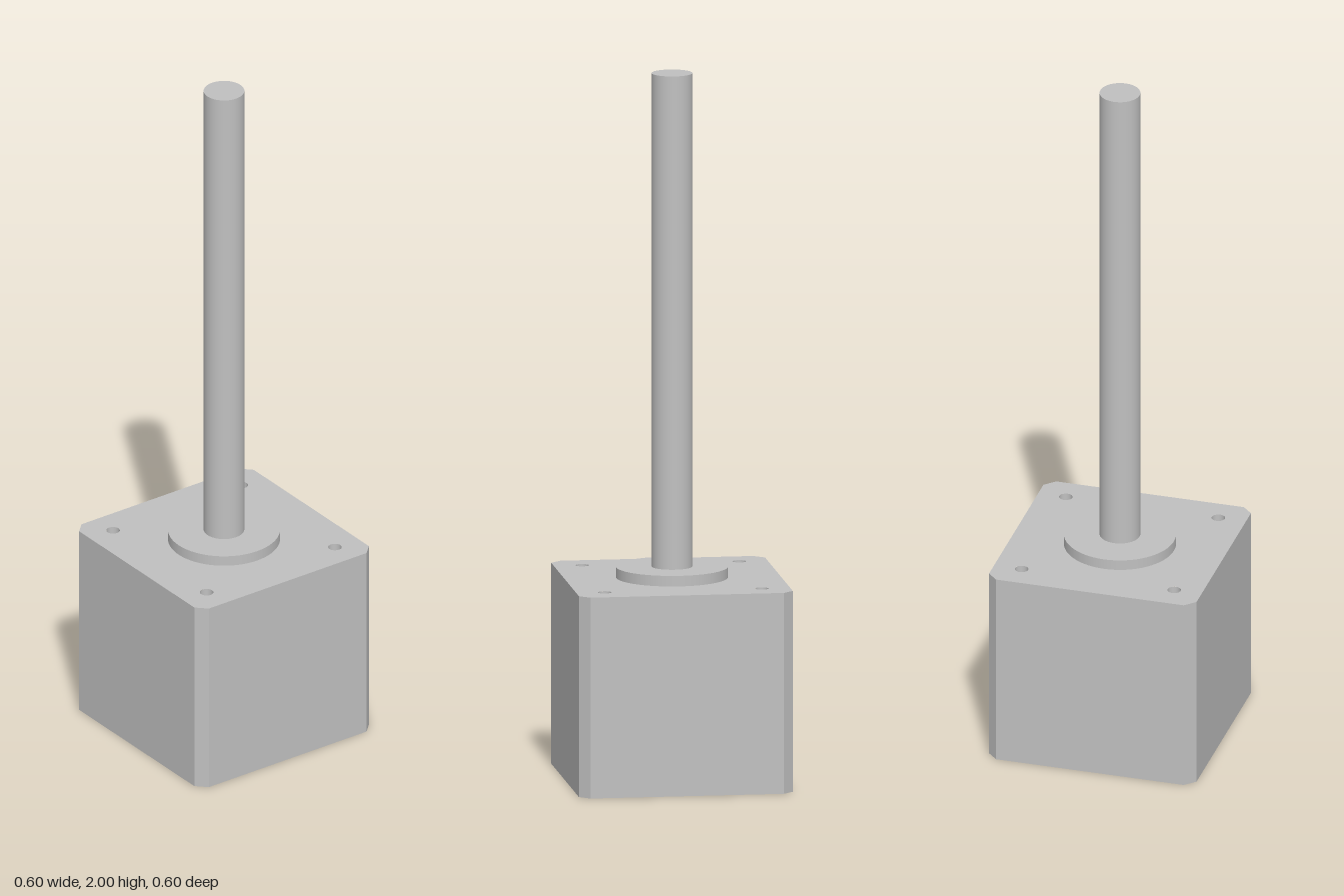
import * as THREE from 'three';

const HALF = 0.302, CHAMFER = 0.029, BODY_H = 0.57;
const FLANGE_TOP = 0.6, HOLE_R = 0.019, HOLE_DEPTH = 0.064, HOLE_POS = 0.222;

export function createModel() {
  const model = new THREE.Group();
  const metal = new THREE.MeshStandardMaterial({ color: 0xc0c0c0 });
  metal.name = 'grey metal';

  function add(name, geometry, x, y, z, parent = model) {
    const mesh = new THREE.Mesh(geometry, metal);
    mesh.name = name;
    mesh.position.set(x, y, z);
    parent.add(mesh);
    return mesh;
  }

  // Square outline with chamfered corners, counter-clockwise
  const a = HALF, b = HALF - CHAMFER;
  const outline = [
    [a, -b], [a, b], [b, a], [-b, a], [-a, b], [-a, -b], [-b, -a], [b, -a],
  ].map(([x, y]) => new THREE.Vector2(x, y));

  const body = new THREE.Group();
  body.name = 'motorBody';
  model.add(body);

  // Side walls and corner chamfers
  outline.forEach((p, i) => {
    const q = outline[(i + 1) % outline.length];
    const mx = (p.x + q.x) / 2, mz = (p.y + q.y) / 2;
    const wall = add(i % 2 ? 'cornerChamfer' : 'sideWall',
      new THREE.PlaneGeometry(p.distanceTo(q), BODY_H), mx, BODY_H / 2, mz, body);
    wall.rotation.y = Math.atan2(q.y - p.y, -(q.x - p.x));
  });

  // Bottom plate
  add('bottomFace', new THREE.ShapeGeometry(new THREE.Shape(outline)).rotateX(Math.PI / 2), 0, 0, 0, body);

  // Top plate with four blind screw holes
  const topShape = new THREE.Shape(outline);
  for (const sx of [-1, 1]) {
    for (const sz of [-1, 1]) {
      const x = sx * HOLE_POS, z = sz * HOLE_POS;
      topShape.holes.push(new THREE.Path().absarc(x, z, HOLE_R, 0, Math.PI * 2, true));
      // Inward-facing hole wall and its floor
      const wall = new THREE.CylinderGeometry(HOLE_R, HOLE_R, HOLE_DEPTH, 24, 1, true).scale(-1, 1, 1);
      wall.attributes.normal.array.forEach((n, i, arr) => { arr[i] = -n; });
      add('screwHoleWall', wall, x, BODY_H - HOLE_DEPTH / 2, z, body);
      add('screwHoleFloor', new THREE.CircleGeometry(HOLE_R, 24).rotateX(-Math.PI / 2),
        x, BODY_H - HOLE_DEPTH, z, body);
    }
  }
  add('topFace', new THREE.ShapeGeometry(topShape, 24).rotateX(-Math.PI / 2), 0, BODY_H, 0, body);

  // Raised centring flange
  add('flange', new THREE.CylinderGeometry(0.157, 0.157, FLANGE_TOP - BODY_H, 64),
    0, (FLANGE_TOP + BODY_H) / 2, 0);

  // Long output shaft
  const shaftH = 2 - FLANGE_TOP;
  add('shaft', new THREE.CylinderGeometry(0.057, 0.057, shaftH, 48), 0, FLANGE_TOP + shaftH / 2, 0);

  return model;
}
